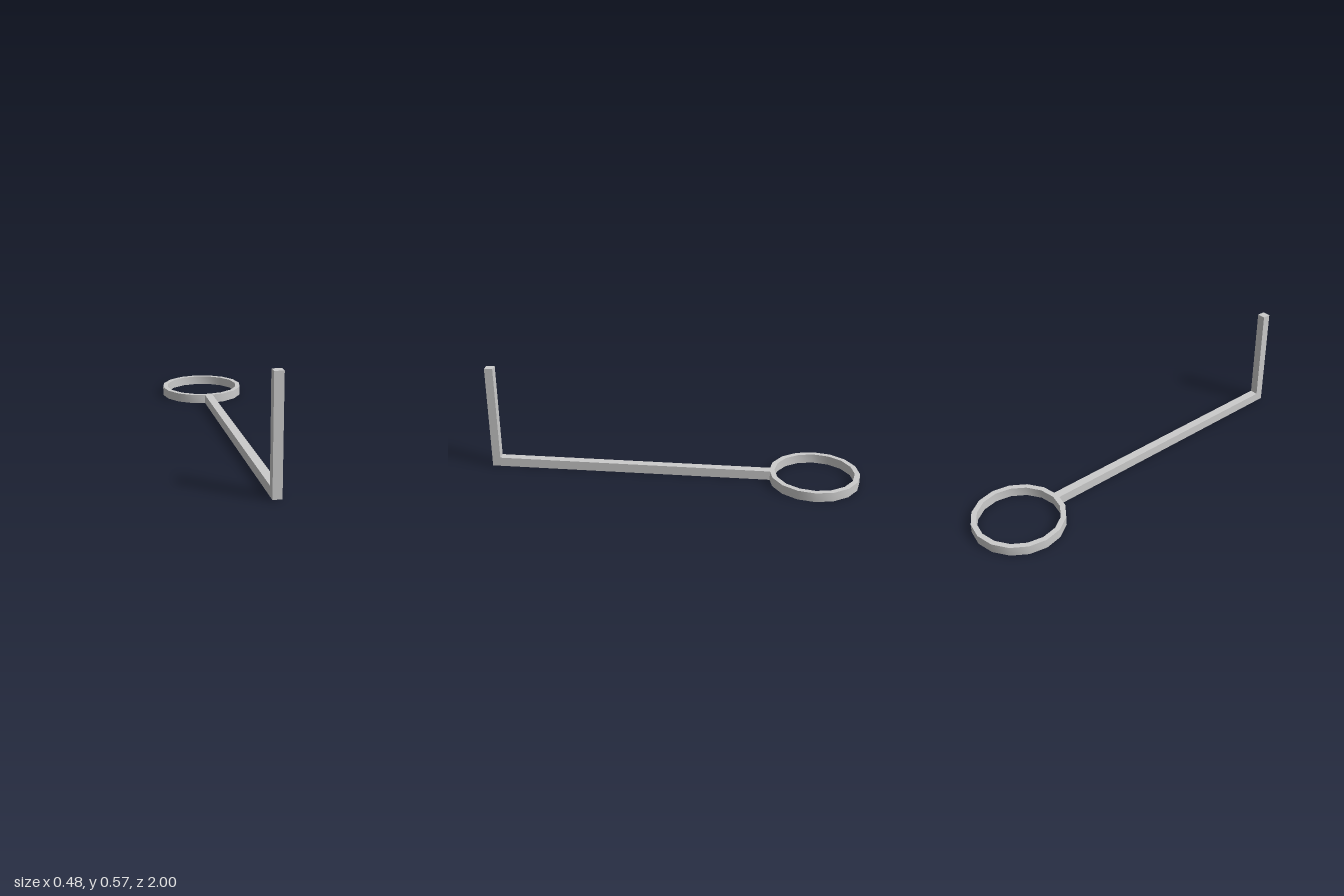
import * as THREE from 'three';
import { toCreasedNormals } from 'three/addons/utils/BufferGeometryUtils.js';

const BAR = 0.045;      // thickness of the bar
const HEIGHT = 0.05;    // height of the ring and the lying bar
const RADIUS = 0.24;    // outer radius of the ring
const INNER = 0.212;

export function createModel() {
  const group = new THREE.Group();
  const material = new THREE.MeshStandardMaterial({ color: 0xcccccc });

  // L-shaped bar: side outline in (z, y), extruded across x
  const outline = new THREE.Shape([
    [-0.53, 0], [1, 0], [1, 0.57], [1 - BAR, 0.57], [1 - BAR, HEIGHT], [-0.53, HEIGHT],
  ].map(([z, y]) => new THREE.Vector2(z, y)));
  const barGeometry = new THREE.ExtrudeGeometry(outline, { depth: BAR, bevelEnabled: false });
  barGeometry.rotateY(-Math.PI / 2).translate(BAR / 2, 0, 0);
  const bar = new THREE.Mesh(barGeometry, material);
  bar.name = 'bentBar';
  group.add(bar);

  // Sixteen-sided ring with smooth walls and sharp rims
  const profile = [
    [RADIUS, 0], [RADIUS, HEIGHT], [INNER, HEIGHT], [INNER, 0], [RADIUS, 0],
  ].map(([r, y]) => new THREE.Vector2(r, y));
  const ring = new THREE.Mesh(toCreasedNormals(new THREE.LatheGeometry(profile, 16), 0.6), material);
  ring.name = 'ring';
  ring.position.z = RADIUS - 1;
  group.add(ring);

  return group;
}
